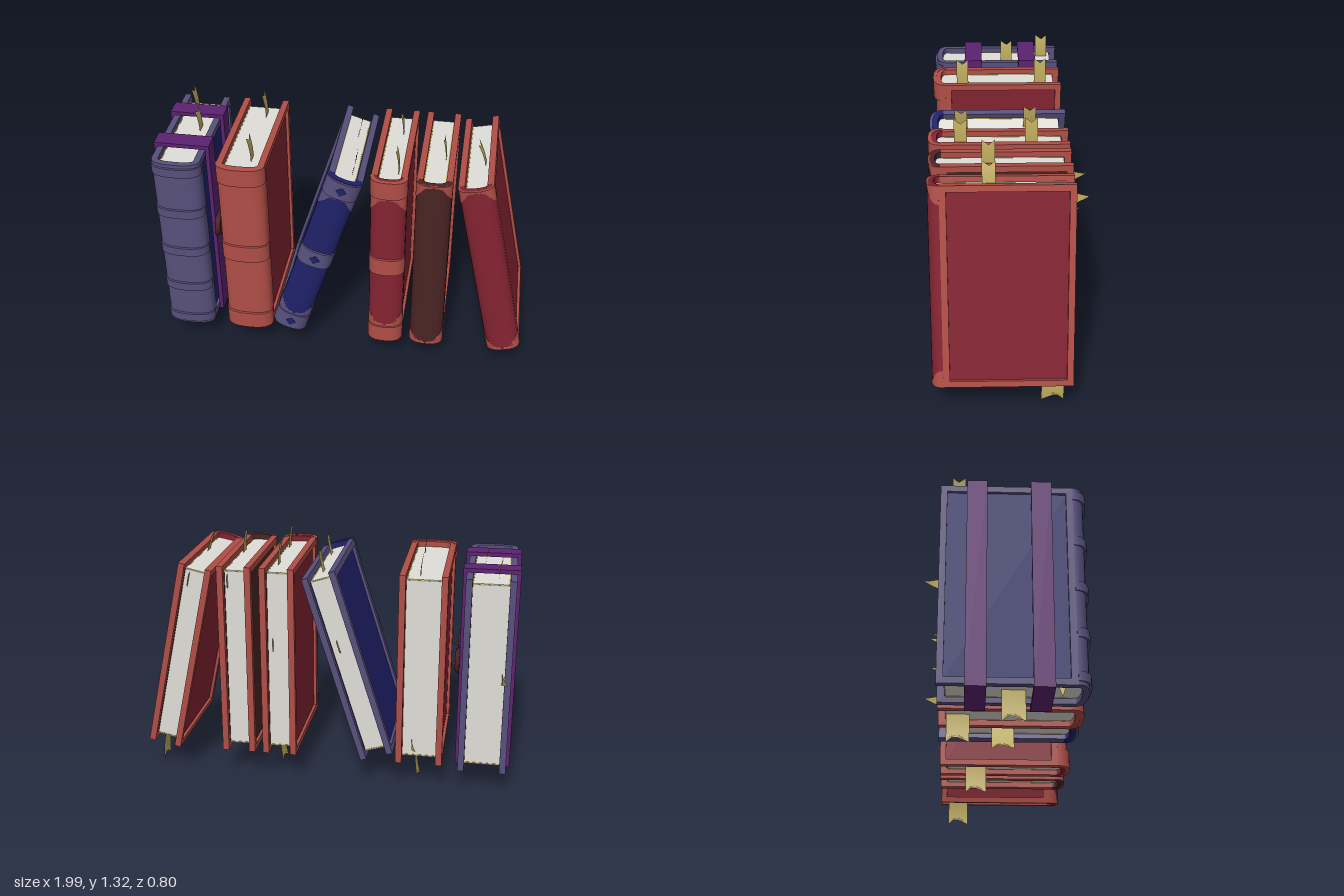
import * as THREE from 'three';
import { toCreasedNormals } from 'three/addons/utils/BufferGeometryUtils.js';

const material = (name, color, side = THREE.FrontSide) => {
  const m = new THREE.MeshStandardMaterial({ color, side });
  m.name = name;
  return m;
};

const BACK = -0.33, HINGE = 0.32, BOARD = 0.034;

export function createModel() {
  const slate = material('slate', 0x57507c);
  const red = material('light red', 0xb04e47);
  const crimson = material('crimson', 0x832331);
  const navy = material('navy', 0x1f2168);
  const brown = material('dark brown', 0x4a2323);
  const purple = material('purple', 0x5c2270);
  const paper = material('paper', 0xe0ded8);
  const gold = material('gold', 0xbcaa5c, THREE.DoubleSide);

  const add = (parent, name, geometry, mat, x = 0, y = 0, z = 0) => {
    const mesh = new THREE.Mesh(geometry, mat);
    mesh.name = name;
    mesh.position.set(x, y, z);
    parent.add(mesh);
    return mesh;
  };

  // Points of the rounded spine, from right to left, seen from above
  const arc = (halfWidth, depth) => {
    const pts = [];
    for (let i = 0; i <= 16; i++) {
      const a = (Math.PI * i) / 16, c = Math.cos(a);
      pts.push(new THREE.Vector2(
        halfWidth * Math.sign(c) * Math.abs(c) ** 0.75,
        HINGE + depth * Math.max(0, Math.sin(a)) ** 0.85));
    }
    return pts;
  };

  // Extrudes a plan outline upwards, centred on y = 0
  const upright = (pts, height) => {
    const g = new THREE.ExtrudeGeometry(new THREE.Shape(pts), { depth: height, bevelEnabled: false });
    g.rotateX(Math.PI / 2).translate(0, height / 2, 0);
    return toCreasedNormals(g, 0.7);
  };

  const curvedShell = (halfWidth, depth, thick, height) => upright(
    [...arc(halfWidth, depth), ...arc(halfWidth - thick, depth - thick).reverse()], height);

  // Triangular corner caps: a shell tapering towards the middle of the spine
  const cornerCaps = (halfWidth, height, dir) => {
    const g = curvedShell(halfWidth + 0.002, 0.063, 0.01, 1);
    const p = g.attributes.position;
    for (let i = 0; i < p.count; i++) {
      const reach = Math.max(0.06, (Math.abs(p.getX(i)) / halfWidth - 0.45) / 0.55);
      p.setY(i, -dir * (p.getY(i) + 0.5) * height * reach);
    }
    if (dir > 0) {
      // Mirrored heights need their corners turned round
      for (let i = 0; i < p.count; i += 3) {
        const a = new THREE.Vector3().fromBufferAttribute(p, i + 1);
        const b = new THREE.Vector3().fromBufferAttribute(p, i + 2);
        p.setXYZ(i + 1, b.x, b.y, b.z);
        p.setXYZ(i + 2, a.x, a.y, a.z);
      }
    }
    g.computeVertexNormals();
    return toCreasedNormals(g, 0.7);
  };

  // Ribbon growing along +y, flat in the yz plane, with a forked or pointed end
  const ribbon = (width, length, bend, pointed) => {
    const g = new THREE.PlaneGeometry(width, 1, 2, 6);
    const p = g.attributes.position;
    for (let i = 0; i < p.count; i++) {
      const t = p.getY(i) + 0.5, u = p.getX(i);
      const middle = Math.abs(u) < 1e-5;
      const s = !pointed && middle && t > 0.99 ? 1 - (0.4 * width) / length : t;
      p.setXYZ(i, bend * s * s, s * length, pointed ? u * (1 - t) : u);
    }
    g.computeVertexNormals();
    return g;
  };

  const boardFrame = (height) => {
    const d = (HINGE - BACK) / 2, h = height / 2, e = 0.033;
    const rect = (a, b) => [[-a, -b], [a, -b], [a, b], [-a, b]].map(([x, y]) => new THREE.Vector2(x, y));
    const s = new THREE.Shape(rect(d, h));
    s.holes.push(new THREE.Path(rect(d - e, h - e).reverse()));
    return new THREE.ExtrudeGeometry(s, { depth: BOARD, bevelEnabled: false })
      .translate(0, 0, -BOARD / 2).rotateY(Math.PI / 2);
  };

  const books = [
    { name: 'strappedBook', x: -0.853, y: 0.67, w: 0.255, h: 1.07, trim: slate, panel: navy, spine: slate,
      bands: [0.49, 0.23, -0.02, -0.265, -0.49], bandHeight: 0.05,
      top: [[-0.035, -0.24, 0.1], [0.04, -0.03, 0.095]], bottom: [[0.005, 0.03, 0.135], [-0.07, 0.25, 0.045]], fore: [-0.08, 0] },
    { name: 'wideRedBook', x: -0.515, w: 0.25, trim: red, panel: crimson, spine: red, bands: [0.48, -0.01, -0.478],
      top: [[0.025, -0.215, 0.11], [0.04, 0.225, 0.11]], bottom: [[0.02, -0.23, 0.125]], fore: [0.04, -0.42] },
    { name: 'leaningBlueBook', x: -0.13, y: 0.684, w: 0.183, tilt: -0.305, trim: slate, panel: navy, spine: navy,
      bands: [0.475, 0, -0.475], caps: true, ornament: true,
      top: [[0.01, -0.135, 0.1], [0.03, 0.225, 0.1]], bottom: [[0.01, 0, 0.12]], fore: [0.02, 0.12] },
    { name: 'bandedRedBook', x: 0.2475, w: 0.185, trim: red, panel: crimson, spine: crimson,
      bands: [0.48, -0.01, -0.478], caps: true,
      top: [[0.025, -0.135, 0.11], [0.04, 0.225, 0.11]], bottom: [[0.025, -0.13, 0.125]], fore: [0.03, 0.1] },
    { name: 'brownBook', x: 0.475, w: 0.182, trim: red, panel: brown, spine: brown, bands: [], caps: true,
      top: [[0.04, 0.085, 0.11]], bottom: [], fore: [0.04, 0.44] },
    { name: 'leaningRedBook', x: 0.79, y: 0.685, w: 0.18, tilt: 0.211, trim: red, panel: crimson, spine: crimson,
      bands: [], caps: true, top: [[0.035, 0.085, 0.1]], bottom: [[0.015, -0.23, 0.125]], fore: [0.03, 0.44] },
  ];

  const makeBook = (b) => {
    const book = new THREE.Group();
    book.name = b.name;
    const h = b.h ?? 1.055, hw = b.w / 2, pageH = h - 0.06, inner = hw - BOARD;
    const mid = (BACK + HINGE) / 2;

    // Covers: raised frame around a recessed panel
    for (const side of [-1, 1]) {
      const x = side * (hw - BOARD / 2);
      add(book, 'coverFrame', boardFrame(h), b.trim, x, 0, mid);
      add(book, 'coverPanel', new THREE.BoxGeometry(0.014, h - 0.064, HINGE - BACK - 0.064), b.panel,
        x - side * 0.006, 0, mid);
    }

    // Spine with raised bands and corner caps
    add(book, 'spine', curvedShell(hw, 0.06, 0.032, h), b.spine);
    for (const y of b.bands) {
      add(book, 'spineBand', curvedShell(hw + 0.004, 0.073, 0.02, b.bandHeight ?? 0.1), b.trim, 0, y);
      if (b.ornament) {
        const diamond = new THREE.CylinderGeometry(0.028, 0.028, 0.004, 4).rotateX(Math.PI / 2);
        add(book, 'bandOrnament', diamond, b.panel, 0, y, 0.393);
      }
    }
    if (b.caps) {
      const edge = b.bands.length ? h / 2 - 0.1 : h / 2;
      for (const dir of [-1, 1]) add(book, 'cornerCaps', cornerCaps(hw, 0.09, dir), b.trim, 0, dir * edge);
    }

    // Page block with thin gilt edges
    const block = (grow) => [new THREE.Vector2(-inner, -0.29 - grow), new THREE.Vector2(inner, -0.29 - grow),
      ...arc(inner, 0.03)];
    add(book, 'pages', upright(block(0), pageH), paper);
    for (const dir of [-1, 1]) {
      add(book, 'giltEdge', upright(block(0.002), 0.005), gold, 0, dir * (pageH / 2 - 0.006));
      for (const side of [-1, 1]) {
        add(book, 'giltLine', new THREE.BoxGeometry(0.005, 0.003, 0.6), gold,
          side * (inner - 0.0025), dir * pageH / 2, 0.01);
      }
    }

    // Ribbon markers above, below and at the fore edge
    for (const [x, z, out] of b.top) {
      add(book, 'topRibbon', ribbon(0.065, out + 0.03, -0.018), gold, x, pageH / 2, z);
    }
    for (const [x, z, out] of b.bottom) {
      const small = out < 0.08;
      const r = add(book, 'bottomRibbon', ribbon(small ? 0.04 : 0.115, out + 0.03, -0.02, small), gold, x, -pageH / 2, z);
      r.scale.y = -1;
    }
    const fore = add(book, 'foreEdgeRibbon', ribbon(0.08, 0.11, -0.03, true), gold, b.fore[0], b.fore[1], -0.29);
    fore.rotation.x = -Math.PI / 2;

    book.position.set(b.x, b.y ?? 0.683, 0);
    book.rotation.z = b.tilt ?? 0;
    return book;
  };

  const model = new THREE.Group();
  model.name = 'rowOfBooks';
  for (const b of books) model.add(makeBook(b));

  // Straps and clasps around the first book
  const strapped = model.children[0];
  for (const z of [-0.15, 0.165]) {
    for (const side of [-1, 1]) {
      add(strapped, 'strapSide', new THREE.BoxGeometry(0.022, 1.11, 0.1), purple, side * 0.136, 0, z);
      add(strapped, 'strapEnd', new THREE.BoxGeometry(0.294, 0.022, 0.1), purple, 0, side * 0.544, z);
    }
    const disc = new THREE.CylinderGeometry(0.06, 0.075, 0.024, 16).rotateZ(-Math.PI / 2);
    add(strapped, 'clasp', disc, brown, 0.158, 0.03, z);
    add(strapped, 'claspPin', new THREE.ConeGeometry(0.02, 0.03, 8).rotateZ(-Math.PI / 2), brown, 0.18, 0.01, z);
  }
  return model;
}
